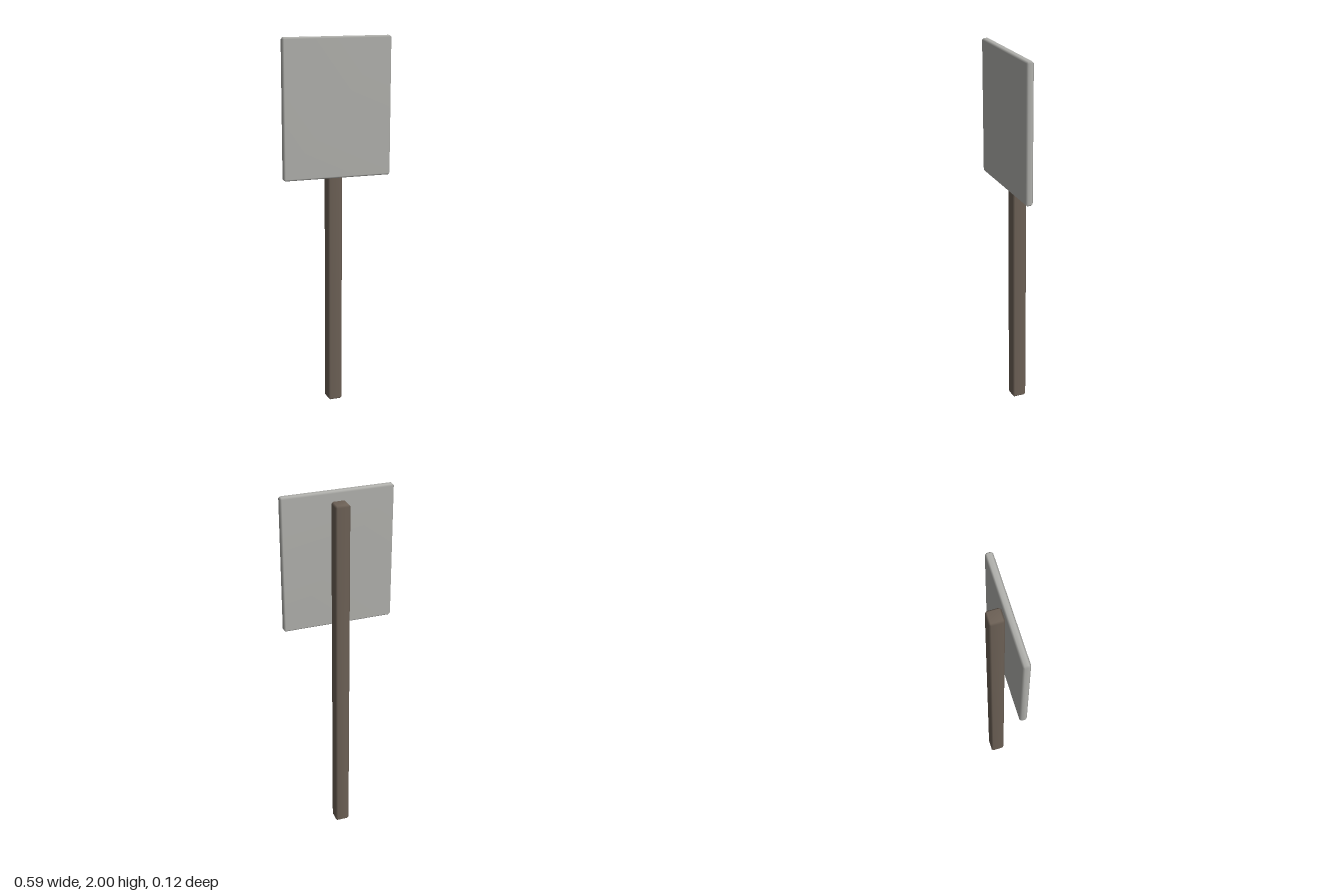
import * as THREE from 'three';
import { ConvexGeometry } from 'three/addons/geometries/ConvexGeometry.js';
import { mergeVertices } from 'three/addons/utils/BufferGeometryUtils.js';

// Box with a single chamfer on every edge; area-weighted normals keep the big faces flat
function chamferedBox(w, h, d, r) {
  const half = [w / 2, h / 2, d / 2];
  const points = [];
  for (const sx of [-1, 1]) for (const sy of [-1, 1]) for (const sz of [-1, 1]) {
    for (let axis = 0; axis < 3; axis++) {
      const [x, y, z] = half.map((v, i) => (i === axis ? v : v - r));
      points.push(new THREE.Vector3(sx * x, sy * y, sz * z));
    }
  }
  let geometry = new ConvexGeometry(points);
  geometry.deleteAttribute('normal');
  geometry = mergeVertices(geometry, 1e-5);
  geometry.computeVertexNormals();
  return geometry;
}

export function createModel() {
  const model = new THREE.Group();
  model.name = 'signpost';

  const wood = new THREE.MeshStandardMaterial({ color: 0x6e6257 });
  wood.name = 'brown wood';
  const panel = new THREE.MeshStandardMaterial({ color: 0xb3b3af });
  panel.name = 'pale grey panel';

  function addPart(name, material, [w, h, d], [x, y, z]) {
    const mesh = new THREE.Mesh(chamferedBox(w, h, d, 0.009), material);
    mesh.name = name;
    mesh.position.set(x, y, z);
    model.add(mesh);
  }

  // Square post standing behind the board
  addPart('post', wood, [0.077, 1.953, 0.077], [0, 0.9765, -0.0195]);
  // Blank sign board fixed to the front of the post
  addPart('signBoard', panel, [0.586, 0.73, 0.039], [0, 1.635, 0.0385]);

  return model;
}
